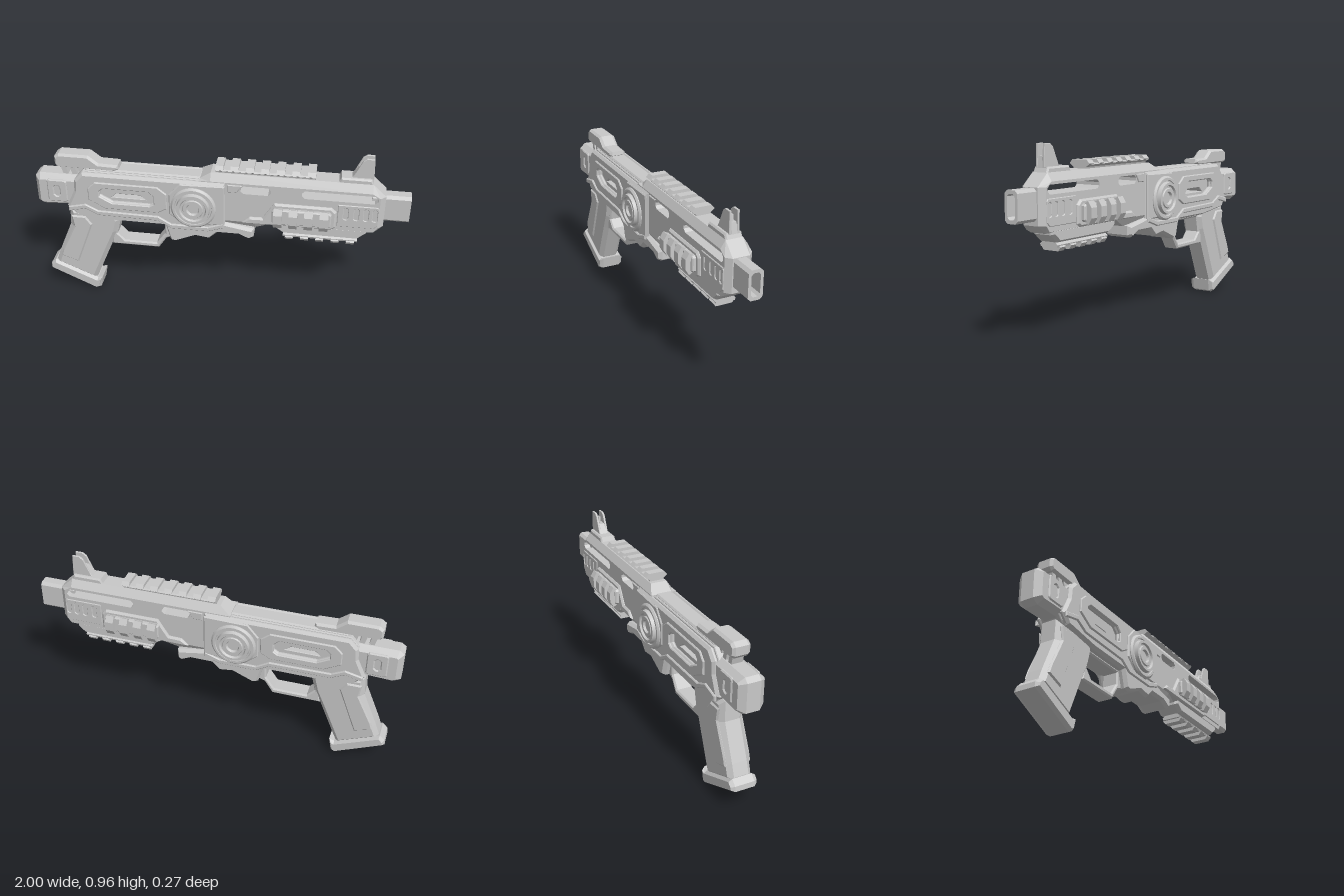
import * as THREE from 'three';
import { toCreasedNormals } from 'three/addons/utils/BufferGeometryUtils.js';

const metal = new THREE.MeshStandardMaterial({ color: 0xc8c8c8 });
metal.name = 'grey metal';

const mirrorZ = (half) => [...half, ...half.map(([z, y]) => [-z, y]).reverse()];
const rect = (x0, y0, x1, y1, c = 0.01) => [
  [x0 + c, y0], [x1 - c, y0], [x1, y0 + c], [x1, y1 - c],
  [x1 - c, y1], [x0 + c, y1], [x0, y1 - c], [x0, y0 + c]];

// Holes are always wound counter-clockwise so that their walls face the opening
function makeShape(points, holes = []) {
  const toVectors = (list) => list.map((p) => new THREE.Vector2(...p));
  const shape = new THREE.Shape(toVectors(points));
  for (const h of holes) {
    const v = toVectors(h);
    shape.holes.push(new THREE.Path(THREE.ShapeUtils.isClockWise(v) ? v.reverse() : v));
  }
  return shape;
}

// Chamfered slab, centred on z = 0; the outline is its full size
function slabGeometry(points, depth, bevel = 0.01, holes = [], thick = bevel) {
  const g = new THREE.ExtrudeGeometry(makeShape(points, holes), {
    depth: depth - 2 * thick, bevelEnabled: bevel > 0, bevelSegments: 1,
    bevelSize: bevel, bevelThickness: thick, bevelOffset: -bevel });
  return g.translate(0, 0, thick - depth / 2);
}

export function createModel() {
  const model = new THREE.Group();
  model.name = 'blaster';

  const add = (name, geometry) => {
    const mesh = new THREE.Mesh(geometry, metal);
    mesh.name = name;
    model.add(mesh);
    return mesh;
  };
  const slab = (name, points, half, bevel, holes, thick) =>
    add(name, slabGeometry(points, half * 2, bevel, holes, thick));
  // The same plate on both sides, from z0 out to z1
  const sides = (name, points, z0, z1, bevel = 0.006, holes = []) => {
    for (const s of [1, -1]) {
      add((s > 0 ? 'left ' : 'right ') + name, slabGeometry(points, z1 - z0, bevel, holes))
        .position.z = s * (z0 + z1) / 2;
    }
  };
  // A [z, y] cross-section swept along x
  const along = (name, profile, x0, x1, holes) => {
    const g = new THREE.ExtrudeGeometry(makeShape(profile, holes), { depth: x1 - x0, bevelEnabled: false });
    return add(name, g.rotateY(Math.PI / 2).translate(x0, 0, 0));
  };

  // Receiver, with a narrow gap seen through the side windows
  const gap = [[-0.58, 0.632], [-0.395, 0.632], [-0.425, 0.655], [-0.555, 0.655]];
  const windowHole = [[-0.638, 0.685], [-0.615, 0.705], [-0.37, 0.705], [-0.342, 0.678],
    [-0.342, 0.633], [-0.365, 0.618], [-0.57, 0.618], [-0.638, 0.655]];
  const body = [[-0.826, 0.57], [-0.78, 0.67], [-0.775, 0.735], [-0.73, 0.785], [0.04, 0.785],
    [0.04, 0.52], [-0.25, 0.52], [-0.3, 0.51], [-0.78, 0.525]];
  slab('receiver core', body, 0.055, 0.004, [gap]);
  sides('receiver cover', body, 0.05, 0.086, 0.014, [windowHole]);
  sides('window frame', [[-0.7, 0.7], [-0.66, 0.74], [-0.32, 0.74], [-0.27, 0.7], [-0.27, 0.61],
    [-0.32, 0.58], [-0.61, 0.58], [-0.7, 0.63]], 0.08, 0.095, 0.005, [windowHole]);
  slab('receiver top', [[-0.72, 0.77], [-0.72, 0.795], [-0.1, 0.795], [-0.06, 0.77]], 0.045, 0.008);

  // Stepped trim along the lower edge of the receiver
  const trim = [[-0.815, 0.575], [-0.72, 0.597], [-0.65, 0.562], [-0.32, 0.557], [-0.25, 0.515], [-0.05, 0.515], [0.035, 0.545]];
  sides('lower trim', [...trim, ...trim.map(([x, y]) => [x, y - 0.028]).reverse()], 0.08, 0.096, 0.005);

  // Lower frame and front lug
  slab('lower frame', [[-0.8, 0.56], [-0.78, 0.52], [-0.56, 0.495], [-0.286, 0.495], [-0.26, 0.4],
    [-0.23, 0.393], [-0.12, 0.44], [-0.045, 0.43], [0, 0.473], [0.115, 0.473], [0.17, 0.447],
    [0.195, 0.463], [0.195, 0.512], [0.04, 0.54]], 0.086, 0.012, [], 0.02);

  // Octagonal block and ringed dial on each side
  sides('dial block', [[-0.26, 0.7], [-0.2, 0.77], [0.04, 0.775], [0.04, 0.53], [-0.2, 0.53], [-0.26, 0.58]], 0.08, 0.093, 0.006);
  const dialProfile = [[0, 0.07], [0.122, 0.07], [0.122, 0.098], [0.112, 0.107], [0.1, 0.107], [0.098, 0.1],
    [0.09, 0.1], [0.086, 0.121], [0.072, 0.121], [0.066, 0.11], [0.056, 0.11], [0.052, 0.117],
    [0.036, 0.117], [0.03, 0.105], [0, 0.105]].map((p) => new THREE.Vector2(...p));
  for (const s of [1, -1]) {
    const g = toCreasedNormals(new THREE.LatheGeometry(dialProfile, 40), 0.4);
    const dial = add(s > 0 ? 'left dial' : 'right dial', g);
    dial.rotation.x = s * Math.PI / 2;
    dial.position.set(-0.127, 0.633, 0);
  }

  // Rear block with a slotted pad
  slab('rear block', [[-1, 0.725], [-0.975, 0.745], [-0.74, 0.745], [-0.74, 0.56], [-0.965, 0.55], [-1, 0.57]],
    0.07, 0.026, [], 0.034);
  sides('rear pad', rect(-0.93, 0.59, -0.82, 0.725), 0.06, 0.077, 0.006, [rect(-0.893, 0.625, -0.862, 0.69)]);

  // Rear sight housing on slanted struts
  slab('rear sight', [[-0.885, 0.805], [-0.885, 0.85], [-0.86, 0.868], [-0.7, 0.868], [-0.645, 0.825],
    [-0.54, 0.822], [-0.535, 0.8], [-0.56, 0.785], [-0.87, 0.788]], 0.048, 0.01, [], 0.015);
  for (const x of [-0.86, -0.81, -0.765]) {
    slab('sight strut', [[x, 0.8], [x + 0.028, 0.8], [x + 0.045, 0.735], [x + 0.017, 0.735]], 0.03, 0, [], 0);
  }

  // Barrel shroud: its outer faces are pulled in to form wide chamfers
  const shroudOutline = [[-0.1, 0.79], [-0.04, 0.83], [0.8, 0.83], [0.87, 0.765], [0.87, 0.585],
    [0.82, 0.545], [0.3, 0.545], [0.2, 0.51], [-0.1, 0.51]];
  const shroud = new THREE.ExtrudeGeometry(
    makeShape(shroudOutline, [rect(0.12, 0.73, 0.28, 0.776, 0.015), rect(0.44, 0.73, 0.83, 0.776, 0.015)]),
    { depth: 3, steps: 3, bevelEnabled: false });
  const pos = shroud.attributes.position;
  for (let i = 0; i < pos.count; i++) {
    const layer = Math.round(pos.getZ(i));
    pos.setZ(i, [-0.072, -0.045, 0.045, 0.072][layer]);
    if (layer === 0 || layer === 3) {
      pos.setX(i, Math.min(pos.getX(i), 0.842));
      pos.setY(i, THREE.MathUtils.clamp(pos.getY(i), 0.555, 0.79));
    }
  }
  shroud.computeVertexNormals();
  add('barrel shroud', shroud);
  sides('vent panel', [[0.63, 0.712], [0.835, 0.712], [0.842, 0.7], [0.842, 0.6], [0.82, 0.58], [0.63, 0.58]],
    0.068, 0.077, 0.003, [0.66, 0.715, 0.765, 0.81].map((x) => rect(x, 0.625, x + 0.024, 0.695, 0.007)));
  sides('slot surround', [[0.05, 0.735], [0.05, 0.78], [0.13, 0.78], [0.1, 0.735]], 0.06, 0.078, 0.004);

  // Hollow muzzle
  along('muzzle', rect(-0.039, 0.607, 0.039, 0.762, 0.015), 0.8, 1, [rect(-0.024, 0.625, 0.024, 0.745, 0.012)]);
  along('muzzle floor', rect(-0.03, 0.615, 0.03, 0.755), 0.84, 0.9);

  // Top rail
  along('top rail', mirrorZ([[0.035, 0.82], [0.04, 0.838], [0.058, 0.85], [0.052, 0.857]]), -0.015, 0.505);
  for (let i = 0; i < 7; i++) {
    const x = -0.015 + i * 0.0797;
    along('top rail tooth', mirrorZ([[0.04, 0.838], [0.062, 0.855], [0.045, 0.874]]), x, x + 0.042);
  }

  // Side rails on stepped forearm plates
  sides('forearm plate', [[0.13, 0.555], [0.17, 0.592], [0.24, 0.594], [0.3, 0.69], [0.6, 0.69], [0.625, 0.665],
    [0.625, 0.57], [0.6, 0.555]], 0.06, 0.086, 0.01);
  sides('side rail base', rect(0.29, 0.58, 0.6, 0.668), 0.08, 0.107, 0.006);
  for (const s of [1, -1]) {
    for (let i = 0; i < 4; i++) {
      const x = 0.3 + i * 0.08;
      along('side rail tooth', [[0.09, 0.58], [0.115, 0.565], [0.135, 0.598], [0.135, 0.65], [0.115, 0.682],
        [0.09, 0.668]].map(([z, y]) => [z * s, y]), x, x + 0.045);
    }
  }

  // Lower rail
  slab('lower rail body', [[0.3, 0.565], [0.79, 0.565], [0.79, 0.535], [0.745, 0.495], [0.35, 0.495], [0.3, 0.53]],
    0.07, 0.012, [], 0.02);
  along('lower rail', mirrorZ([[0.035, 0.5], [0.055, 0.482], [0.05, 0.47]]), 0.35, 0.745);
  for (let i = 0; i < 5; i++) {
    const x = 0.362 + i * 0.0815;
    along('lower rail tooth', mirrorZ([[0.04, 0.49], [0.06, 0.47], [0.045, 0.45]]), x, x + 0.042);
  }

  // Front sight: two ears around a post
  slab('front sight base', [[0.62, 0.82], [0.635, 0.855], [0.79, 0.855], [0.805, 0.82]], 0.045, 0.008);
  slab('front sight block', [[0.685, 0.85], [0.72, 0.905], [0.79, 0.905], [0.8, 0.85]], 0.027, 0.004);
  sides('sight ear', [[0.69, 0.85], [0.735, 0.95], [0.755, 0.965], [0.795, 0.965], [0.8, 0.85]], 0.015, 0.027, 0.002);
  slab('sight post', [[0.745, 0.9], [0.75, 0.938], [0.775, 0.938], [0.78, 0.9]], 0.005, 0, [], 0);

  // Trigger guard
  slab('trigger guard', [[-0.58, 0.5], [-0.25, 0.5], [-0.25, 0.4], [-0.29, 0.385], [-0.335, 0.317], [-0.6, 0.317]],
    0.047, 0.008, [[[-0.545, 0.48], [-0.297, 0.48], [-0.297, 0.415], [-0.345, 0.347], [-0.525, 0.347], [-0.565, 0.39]]]);

  // Grip with side panels and base cap
  slab('grip', [[-0.825, 0.54], [-0.56, 0.53], [-0.545, 0.48], [-0.565, 0.4], [-0.605, 0.31], [-0.71, 0.06],
    [-0.94, 0.16], [-0.91, 0.24], [-0.83, 0.43]], 0.064, 0.024, [], 0.024);
  sides('grip panel', [[-0.815, 0.5], [-0.735, 0.5], [-0.7, 0.45], [-0.8, 0.185], [-0.9, 0.22], [-0.885, 0.265],
    [-0.805, 0.43]], 0.055, 0.072, 0.008);
  slab('grip cap', [[-0.968, 0.15], [-0.94, 0.178], [-0.7, 0.072], [-0.672, 0.08], [-0.684, 0.012],
    [-0.71, 0], [-0.972, 0.122]], 0.073, 0.012, [], 0.02);

  return model;
}
